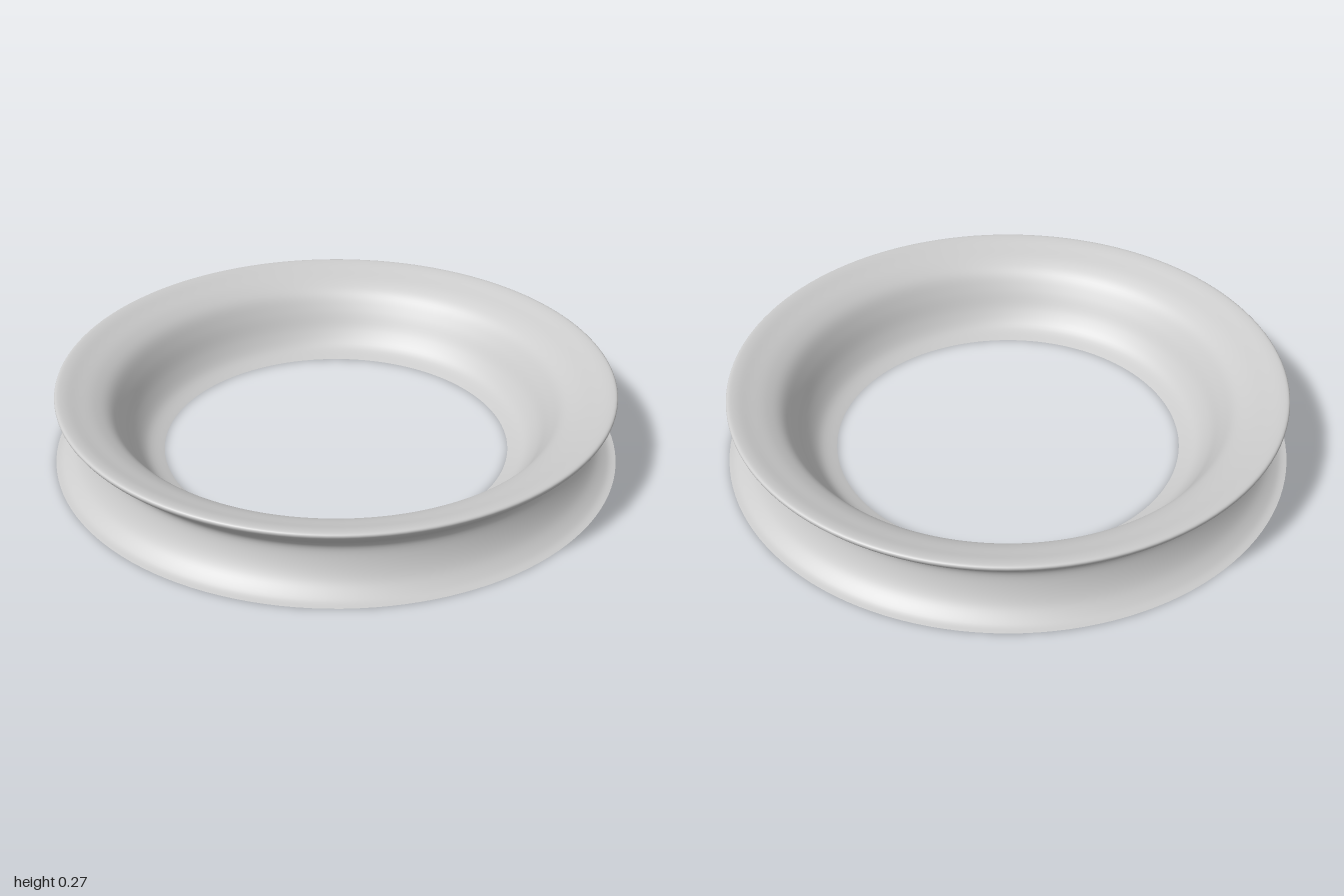
import * as THREE from 'three';

// Open ring shell: one smooth profile turned around the vertical axis.
export function createModel() {
  const group = new THREE.Group();
  group.name = 'flaredRing';

  // Radius and height, from the outer foot over the lip and down to the hole
  const profile = [
    [1, 0], [0.97, 0.009], [0.93, 0.042], [0.902, 0.09], [0.888, 0.142],
    [0.902, 0.175], [0.935, 0.203], [0.973, 0.236], [0.986, 0.255],
    [0.978, 0.265], [0.95, 0.262], [0.91, 0.249], [0.85, 0.228],
    [0.80, 0.197], [0.76, 0.143], [0.72, 0.075], [0.675, 0.025], [0.617, 0],
  ].map(([r, y]) => new THREE.Vector2(r, y));
  const points = new THREE.SplineCurve(profile).getPoints(85);
  points.forEach((p) => { p.y = Math.max(p.y, 0); });

  const shell = new THREE.Mesh(
    new THREE.LatheGeometry(points, 128),
    new THREE.MeshStandardMaterial({ color: 0xcccccc, side: THREE.DoubleSide }),
  );
  shell.name = 'ringShell';
  group.add(shell);
  return group;
}
